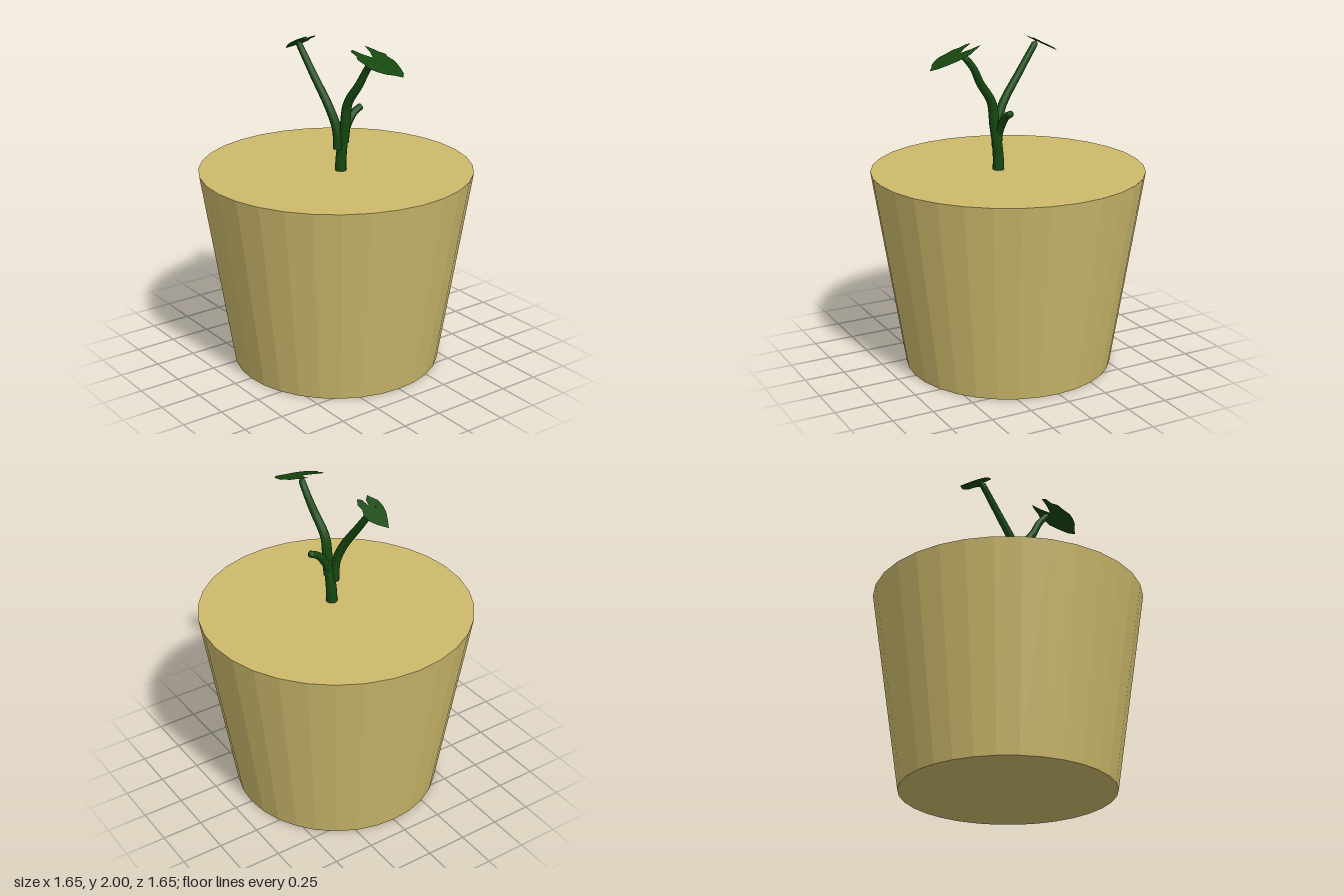
import * as THREE from 'three';

const clay = new THREE.MeshStandardMaterial({ color: 0xcdba6c, flatShading: true });
const stemGreen = new THREE.MeshStandardMaterial({ color: 0x15480f, side: THREE.DoubleSide });
const leafGreen = new THREE.MeshStandardMaterial({ color: 0x17470f, side: THREE.DoubleSide });

function add(group, name, geometry, material) {
  const mesh = new THREE.Mesh(geometry, material);
  mesh.name = name;
  group.add(mesh);
  return mesh;
}

// Tube along points whose radius tapers from r0 to r1; the last ring closes the tip
function taperedTube(points, r0, r1, segments = 24, sides = 12) {
  const curve = new THREE.CatmullRomCurve3(points.map(p => new THREE.Vector3(...p)));
  const geo = new THREE.TubeGeometry(curve, segments, 1, sides, false);
  const pos = geo.attributes.position;
  const v = new THREE.Vector3();
  for (let i = 0; i <= segments; i++) {
    const centre = curve.getPointAt(i / segments);
    const r = i === segments ? 0.0005 : r0 + (r1 - r0) * i / segments;
    for (let j = 0; j <= sides; j++) {
      const k = i * (sides + 1) + j;
      v.fromBufferAttribute(pos, k).sub(centre).multiplyScalar(r).add(centre);
      pos.setXYZ(k, v.x, v.y, v.z);
    }
  }
  geo.computeVertexNormals();
  return geo;
}

// Flat leaf: outline given in plan (x, z), tilted so that y follows x
function leaf(outline, x0, y0, slope) {
  const shape = new THREE.Shape(outline.map(([x, z]) => new THREE.Vector2(x, -z)));
  const geo = new THREE.ShapeGeometry(shape);
  geo.rotateX(-Math.PI / 2);
  const pos = geo.attributes.position;
  for (let i = 0; i < pos.count; i++) pos.setY(i, y0 + slope * (pos.getX(i) - x0));
  geo.computeVertexNormals();
  return geo;
}

export function createModel() {
  const model = new THREE.Group();

  // Solid tapered pot
  const pot = add(model, 'pot', new THREE.CylinderGeometry(0.825, 0.635, 1.222, 32), clay);
  pot.position.y = 0.611;

  // Stem and its branches
  add(model, 'stem', taperedTube(
    [[0.06, 1.2, 0.01], [0.062, 1.3, 0.008], [0.075, 1.42, 0.003], [0.08, 1.5, 0]], 0.035, 0.028), stemGreen);
  add(model, 'rightBranch', taperedTube(
    [[0.063, 1.36, 0.03], [0.055, 1.48, 0.035], [0.01, 1.6, 0.055],
      [-0.12, 1.785, 0.08], [-0.25, 1.965, 0.1]], 0.03, 0.019), stemGreen);
  add(model, 'leftBranch', taperedTube(
    [[0.072, 1.4, 0], [0.09, 1.5, 0], [0.112, 1.64, -0.003], [0.195, 1.765, -0.02],
      [0.246, 1.86, -0.036], [0.32, 1.95, -0.035]], 0.034, 0.019), stemGreen);
  add(model, 'sideShoot', taperedTube(
    [[0.07, 1.42, 0.005], [0.066, 1.49, -0.03], [0.06, 1.56, -0.085], [0.057, 1.594, -0.15]], 0.028, 0.02), stemGreen);

  // Scalloped heart-shaped leaves
  add(model, 'rightLeaf', leaf([
    [-0.385, 0.093], [-0.35, 0.044], [-0.32, 0.013], [-0.275, 0], [-0.24, 0.013], [-0.21, 0.004],
    [-0.176, 0.022], [-0.185, 0.048], [-0.232, 0.066], [-0.194, 0.07], [-0.168, 0.097], [-0.19, 0.115],
    [-0.212, 0.137], [-0.256, 0.146], [-0.3, 0.137], [-0.345, 0.115],
  ], -0.385, 1.89, 0.51), leafGreen);
  add(model, 'leftLeaf', leaf([
    [0.538, -0.07], [0.503, -0.101], [0.459, -0.115], [0.424, -0.124], [0.38, -0.132], [0.336, -0.119],
    [0.305, -0.124], [0.274, -0.097], [0.238, -0.079], [0.203, -0.053], [0.265, -0.044], [0.322, -0.022],
    [0.274, 0.018], [0.22, 0.049], [0.238, 0.071], [0.283, 0.066], [0.318, 0.084], [0.362, 0.075],
    [0.415, 0.071], [0.45, 0.049], [0.486, 0.013], [0.508, -0.031],
  ], 0.203, 1.995, -0.358), leafGreen);

  return model;
}
